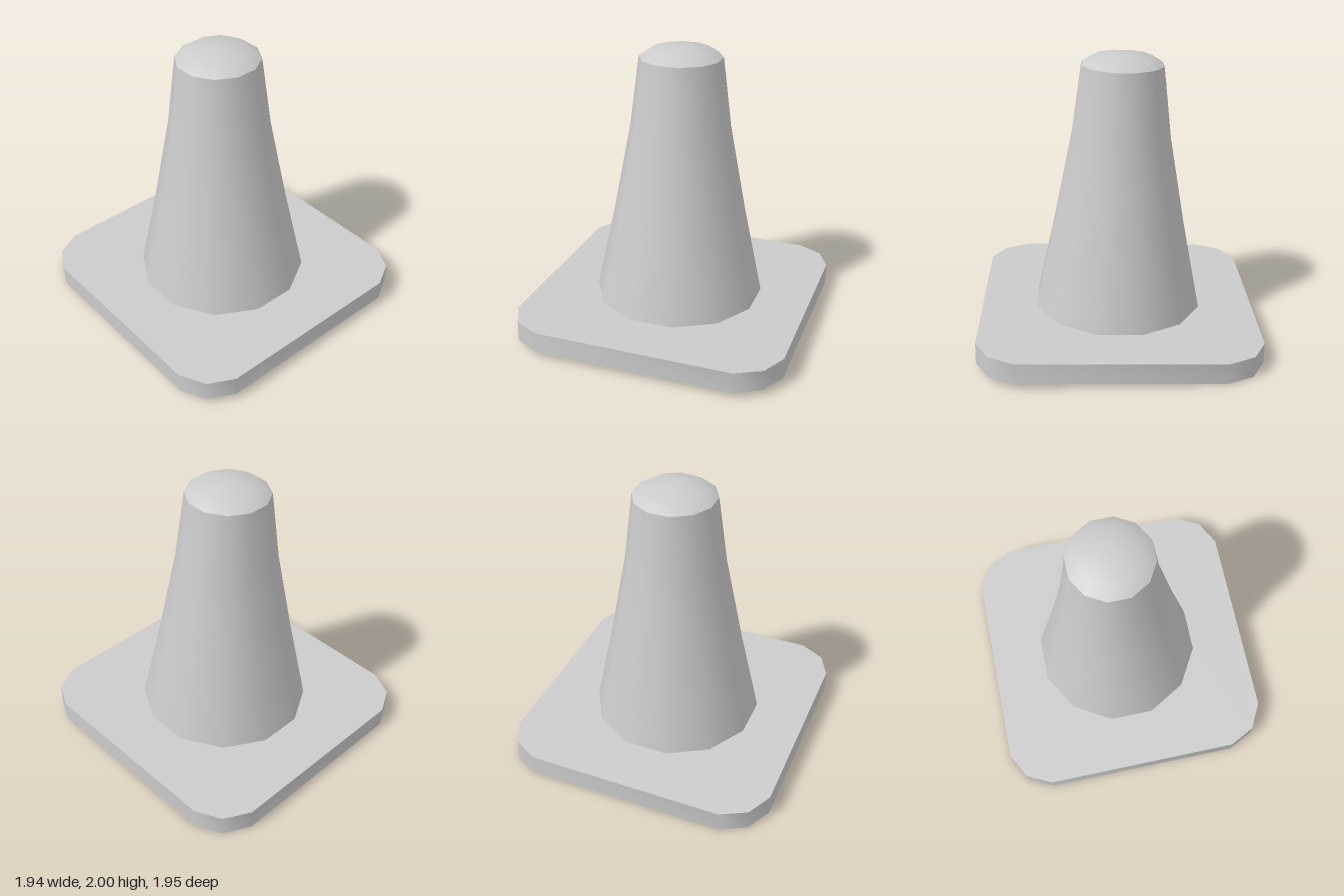
import * as THREE from 'three';
import { toCreasedNormals } from 'three/addons/utils/BufferGeometryUtils.js';

const SIDES = 12;
const PHASE = Math.PI / SIDES;
const PLATE_HEIGHT = 0.147;
const HOLE_RADIUS = 0.53;

export function createModel() {
  const group = new THREE.Group();
  group.name = 'trafficCone';
  const material = new THREE.MeshStandardMaterial({ color: 0xcccccc });

  const add = (name, geometry) => {
    const mesh = new THREE.Mesh(geometry, material);
    mesh.name = name;
    group.add(mesh);
  };
  // Twelve-sided turned surface from [radius, height] pairs, flats facing the axes
  const turned = (profile) =>
    new THREE.LatheGeometry(profile.map(([r, y]) => new THREE.Vector2(r, y)), SIDES, PHASE);

  // Base plate: square with two-step corners and a hole through the middle
  const corner = [[0.97, 0.7], [0.88, 0.88], [0.7, 0.975]];
  const mirrored = (sx, sy) => corner.map(([x, y]) => new THREE.Vector2(x * sx, y * sy));
  const outline = new THREE.Shape([
    ...mirrored(1, 1), ...mirrored(-1, 1).reverse(),
    ...mirrored(-1, -1), ...mirrored(1, -1).reverse(),
  ]);
  const hole = [];
  for (let i = 0; i < SIDES; i++) {
    const a = PHASE - (i * 2 * Math.PI) / SIDES;
    hole.push(new THREE.Vector2(HOLE_RADIUS * Math.cos(a), HOLE_RADIUS * Math.sin(a)));
  }
  outline.holes.push(new THREE.Path(hole));
  const plate = new THREE.ExtrudeGeometry(outline, { depth: PLATE_HEIGHT, bevelEnabled: false });
  plate.rotateX(-Math.PI / 2);
  add('basePlate', toCreasedNormals(plate, 0.7));

  // Tapered body, slightly flared towards the foot
  add('coneBody', turned([[0.605, PLATE_HEIGHT], [0.467, 0.8], [0.352, 1.41], [0.29, 1.9]]));

  // Shallow domed cap
  add('domedCap', turned([[0.29, 1.9], [0.21, 1.953], [0.08, 1.978], [0, 1.978]]));

  // Hollow inside, open at the bottom
  add('innerWall', turned([[0, 1.85], [0.23, 1.82], [0.295, 1.41], [0.41, 0.8], [HOLE_RADIUS, 0]]));

  // The whole cone leans back a little
  group.rotation.x = -0.022;
  group.position.y = 0.0215;
  const root = new THREE.Group();
  root.name = 'leaningCone';
  root.add(group);
  return root;
}
